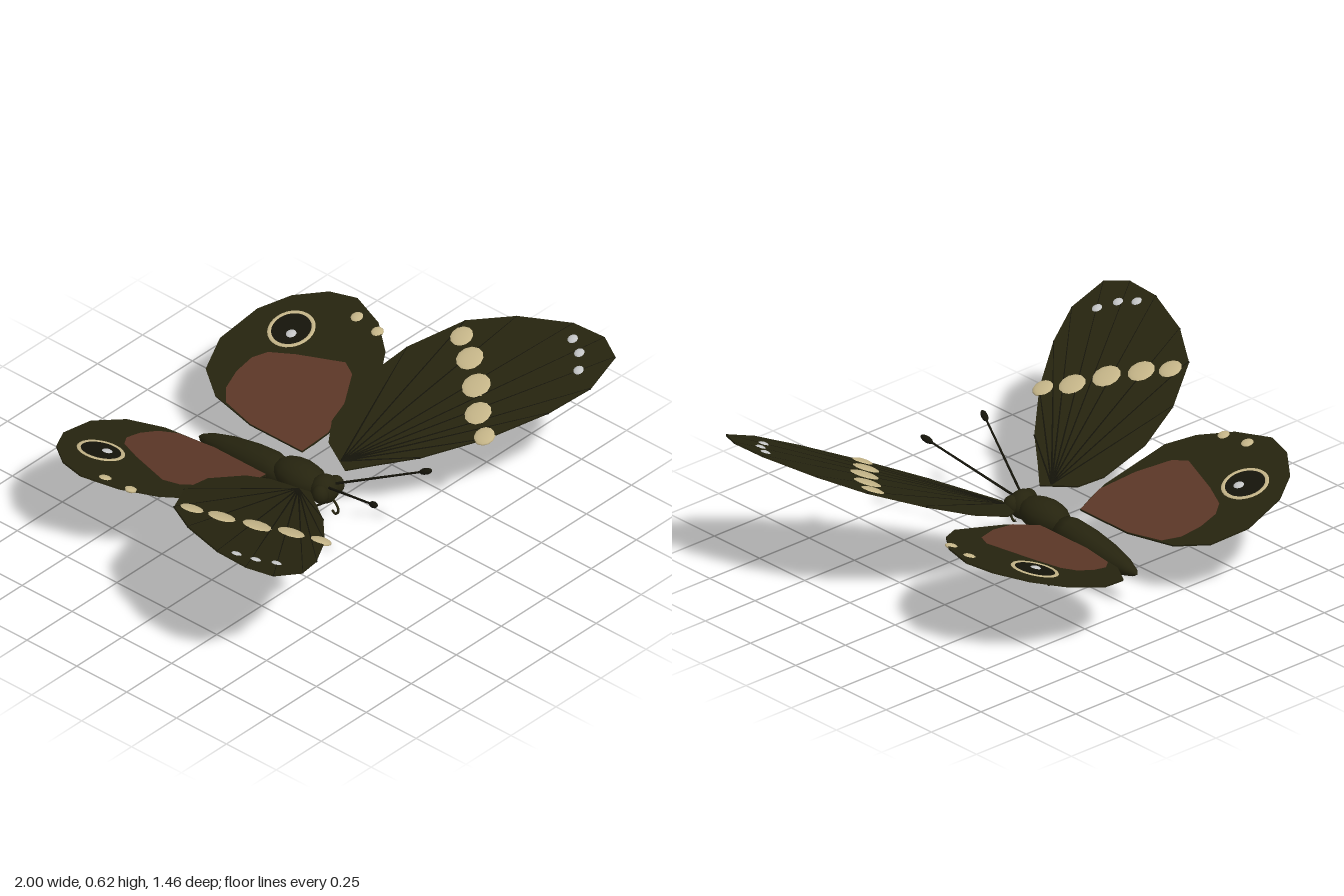
import * as THREE from 'three';

const mat = (name, color) => {
  const m = new THREE.MeshStandardMaterial({ color });
  m.name = name;
  return m;
};

export function createModel() {
  const model = new THREE.Group();
  model.name = 'butterfly';
  const dark = mat('dark olive', 0x26240f);
  const vein = mat('vein black', 0x15140a);
  const brown = mat('russet brown', 0x5c3727);
  const cream = mat('cream', 0xc6b689);
  const pale = mat('pale grey', 0xc4c5c6);

  const add = (parent, name, geo, material, x = 0, y = 0, z = 0) => {
    const m = new THREE.Mesh(geo, material);
    m.name = name;
    m.position.set(x, y, z);
    parent.add(m);
    return m;
  };
  const ball = (parent, name, material, p, r) => {
    const m = add(parent, name, new THREE.SphereGeometry(1, 12, 8), material, ...p);
    m.scale.set(...r);
    return m;
  };
  // straight tapered rod between two points
  const rod = (parent, name, material, a, b, r0, r1 = r0) => {
    const A = new THREE.Vector3(...a), B = new THREE.Vector3(...b);
    const d = B.clone().sub(A);
    const m = add(parent, name, new THREE.CylinderGeometry(r1, r0, d.length(), 6), material);
    m.position.copy(A).add(B).multiplyScalar(0.5);
    m.quaternion.setFromUnitVectors(new THREE.Vector3(0, 1, 0), d.normalize());
    return m;
  };

  // Outlines as [x, z] seen from above
  const foreOutline = [[0.096, 0.13], [0.16, -0.01], [0.24, -0.065], [0.43, -0.085], [0.62, -0.03],
    [0.81, 0.09], [0.915, 0.255], [0.99, 0.47], [0.997, 0.62], [0.95, 0.715], [0.80, 0.725],
    [0.645, 0.655], [0.45, 0.52], [0.27, 0.35], [0.165, 0.215]];
  const hindOutline = [[0.10, -0.09], [0.10, -0.35], [0.14, -0.56], [0.22, -0.68], [0.36, -0.735],
    [0.54, -0.71], [0.655, -0.64], [0.74, -0.53], [0.77, -0.415], [0.72, -0.265], [0.63, -0.15],
    [0.53, -0.085], [0.25, -0.06], [0.16, -0.075]];
  const patchOutline = [[0.102, -0.09], [0.102, -0.35], [0.135, -0.5], [0.19, -0.55], [0.27, -0.57],
    [0.35, -0.565], [0.40, -0.53], [0.445, -0.43], [0.51, -0.24], [0.48, -0.18], [0.36, -0.11],
    [0.22, -0.065], [0.16, -0.078]];

  // Tilted wing plane; helpers take positions measured from above
  const wingPlane = (name, s, y0, slope) => {
    const g = new THREE.Group();
    const angle = Math.atan(slope);
    g.name = name;
    g.position.set(s * 0.1, y0, 0);
    g.rotation.z = s * angle;
    model.add(g);
    const px = x => s * (x - 0.1) / Math.cos(angle);
    return {
      plate(part, pts, depth, material) {
        const shape = new THREE.Shape(pts.map(([x, z]) => new THREE.Vector2(px(x), -z)));
        const geo = new THREE.ExtrudeGeometry(shape, { depth, bevelEnabled: false });
        add(g, part, geo.translate(0, 0, -depth / 2).rotateX(-Math.PI / 2), material);
      },
      spot(part, x, z, r, h, material) {
        ball(g, part, material, [px(x), 0, z], [r, h, r]);
      },
      disc(part, x, z, r, h, material) {
        add(g, part, new THREE.CylinderGeometry(r, r, h, 24), material, px(x), 0, z);
      },
      ring(part, x, z, r, t, material) {
        const geo = new THREE.TorusGeometry(r, t, 6, 28).rotateX(Math.PI / 2).scale(1, 0.7, 1);
        add(g, part, geo, material, px(x), 0, z);
      },
      line(part, a, b, r, material) {
        rod(g, part, material, [px(a[0]), 0, a[1]], [px(b[0]), 0, b[1]], r, r * 0.75);
      },
    };
  };

  for (const s of [1, -1]) {
    const side = s > 0 ? 'left' : 'right';

    // Forewing with radiating veins, cream band and tip dots
    const fore = wingPlane(side + 'Forewing', s, 0.25, 0.406);
    fore.plate('forewingBlade', foreOutline, 0.007, dark);
    for (const i of [4, 5, 6, 7, 8, 9, 10, 11, 12, 13])
      fore.line('forewingVein', [0.12, 0.09], foreOutline[i], 0.0055, vein);
    for (const [x, z, r] of [[0.75, 0.125, 0.048], [0.69, 0.22, 0.057], [0.61, 0.325, 0.06],
      [0.52, 0.415, 0.056], [0.455, 0.505, 0.043]])
      fore.spot('bandSpot', x, z, r, 0.011, cream);
    for (const [x, z] of [[0.935, 0.515], [0.90, 0.58], [0.84, 0.63]])
      fore.spot('tipDot', x, z, 0.022, 0.01, pale);

    // Hindwing with russet patch, eyespot and edge dots
    const hind = wingPlane(side + 'Hindwing', s, 0.227, 0.29);
    hind.plate('hindwingBlade', hindOutline, 0.007, dark);
    hind.plate('russetPatch', patchOutline, 0.0095, brown);
    hind.disc('eyespotDisc', 0.53, -0.53, 0.085, 0.0095, vein);
    hind.ring('eyespotRing', 0.53, -0.53, 0.084, 0.011, cream);
    hind.spot('eyespotPupil', 0.512, -0.515, 0.023, 0.011, pale);
    hind.spot('edgeDot', 0.70, -0.355, 0.026, 0.01, cream);
    hind.spot('edgeDot', 0.685, -0.24, 0.025, 0.01, cream);

    // Compound eye and clubbed antenna
    ball(model, side + 'Eye', dark, [s * 0.042, 0.215, 0.132], [0.032, 0.038, 0.034]);
    rod(model, side + 'Antenna', vein, [s * 0.018, 0.24, 0.15], [s * 0.145, 0.39, 0.49], 0.005, 0.004);
    const club = ball(model, side + 'AntennaClub', vein, [s * 0.145, 0.39, 0.49], [0.013, 0.027, 0.013]);
    club.quaternion.setFromUnitVectors(new THREE.Vector3(0, 1, 0),
      new THREE.Vector3(s * 0.127, 0.15, 0.34).normalize());

    // Three jointed legs
    for (const z of [0.05, -0.008, -0.068]) {
      const hip = [s * 0.035, 0.16, z], knee = [s * 0.097, 0.078, z + 0.006], foot = [s * 0.11, 0.005, z - 0.08];
      rod(model, side + 'UpperLeg', dark, hip, knee, 0.008, 0.006);
      ball(model, side + 'Knee', dark, knee, [0.006, 0.006, 0.006]);
      rod(model, side + 'LowerLeg', dark, knee, foot, 0.006, 0.004);
    }
  }

  // Body
  ball(model, 'thorax', dark, [0, 0.207, -0.005], [0.074, 0.067, 0.125]);
  ball(model, 'head', dark, [0, 0.21, 0.115], [0.056, 0.058, 0.055]);
  const profile = [[0, 0], [0.045, 0.005], [0.06, 0.06], [0.061, 0.15], [0.052, 0.26], [0.034, 0.36],
    [0.016, 0.41], [0, 0.43]].map(p => new THREE.Vector2(...p));
  const abdomen = add(model, 'abdomen', new THREE.LatheGeometry(profile, 14), dark, 0, 0.195, -0.09);
  abdomen.quaternion.setFromUnitVectors(new THREE.Vector3(0, 1, 0), new THREE.Vector3(0, -0.045, -0.43).normalize());

  // Curled proboscis
  const curl = new THREE.CatmullRomCurve3([[0.158, 0.18], [0.178, 0.158], [0.183, 0.138], [0.168, 0.121], [0.152, 0.13]]
    .map(([z, y]) => new THREE.Vector3(0, y, z)));
  add(model, 'proboscis', new THREE.TubeGeometry(curl, 16, 0.005, 6), dark);

  return model;
}
